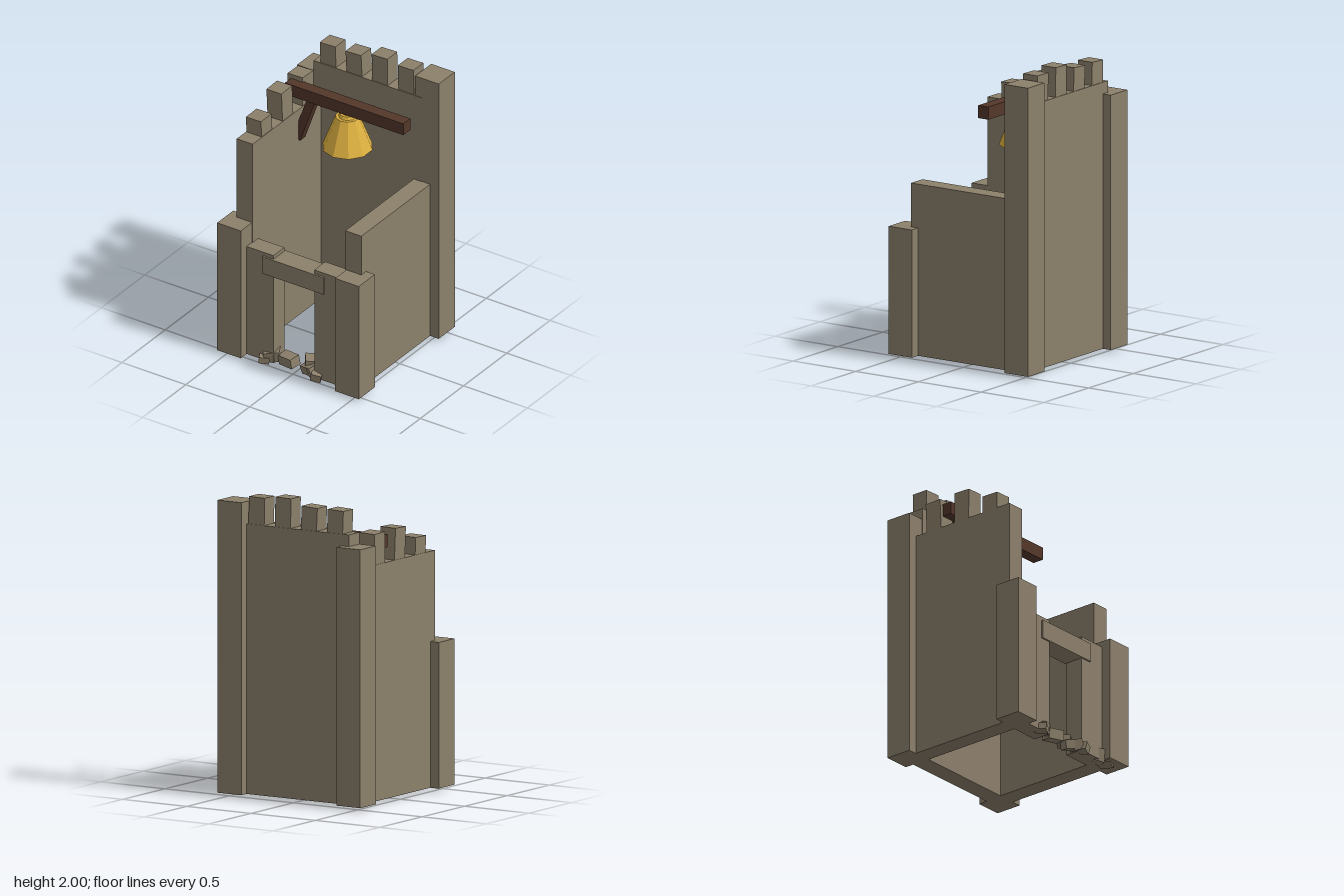
import * as THREE from 'three';

export function createModel() {
  const model = new THREE.Group();
  const make = (name, color) => {
    const m = new THREE.MeshStandardMaterial({ color, flatShading: true });
    m.name = name;
    return m;
  };
  const stone = make('stone', 0x8c806b);
  const wood = make('wood', 0x54372a);
  const brass = make('brass', 0xddb040);
  brass.side = THREE.DoubleSide;

  const add = (name, geometry, material, parent = model) => {
    const mesh = new THREE.Mesh(geometry, material);
    mesh.name = name;
    parent.add(mesh);
    return mesh;
  };
  // Box given by its limits on each axis
  const block = (name, x0, x1, y0, y1, z0, z1, material = stone) => {
    const mesh = add(name, new THREE.BoxGeometry(x1 - x0, y1 - y0, z1 - z0), material);
    mesh.position.set((x0 + x1) / 2, (y0 + y1) / 2, (z0 + z1) / 2);
    return mesh;
  };
  const base = 0.025;

  // Corner pillars, broken off at different heights
  for (const [name, sx, sz, top] of [
    ['backRightPillar', -1, -1, 1.725], ['backLeftPillar', 1, -1, 1.95],
    ['frontRightPillar', -1, 1, 0.987], ['frontLeftPillar', 1, 1, 0.877],
  ]) {
    const p = block(name, -0.0925, 0.0925, base, top, -0.0925, 0.0925);
    p.position.x = sx * 0.4625;
    p.position.z = sz * 0.4625;
  }

  // Walls
  block('backWall', -0.425, 0.425, base, 1.802, -0.492, -0.367);
  block('rightWall', -0.49, -0.365, base, 1.58, -0.425, 0.425);
  block('leftWall', 0.361, 0.487, base, 1.17, -0.425, 0.425);
  block('frontWallRight', -0.42, -0.16, base, 0.837, 0.361, 0.487);
  block('frontWallLeft', 0.16, 0.42, base, 0.837, 0.361, 0.487);
  block('lintel', -0.24, 0.24, 0.683, 0.81, 0.35, 0.5);

  // Leaning battlements on the back wall: x, top, lean
  for (const [x, top, lean] of [
    [-0.316, 1.956, 0.04], [-0.113, 1.958, 0.05], [0.09, 2.0, 0.02], [0.295, 1.985, 0.02],
  ]) {
    const m = block('backBattlement', x - 0.061, x + 0.061, 1.79, top - 0.002, -0.488, -0.373);
    m.rotation.z = lean;
  }
  // Battlements on the right wall: z, top, lean
  for (const [z, top, lean] of [[-0.222, 1.785, -0.03], [0.017, 1.788, 0.03], [0.257, 1.695, 0.02]]) {
    const m = block('sideBattlement', -0.488, -0.37, 1.57, top, z - 0.061, z + 0.061);
    m.rotation.x = lean;
    m.rotation.z = 0.02;
  }

  // Bell beam and its brace
  block('beam', -0.464, 0.464, 1.67, 1.755, -0.175, -0.094, wood);
  const brace = add('brace', new THREE.BoxGeometry(0.06, 0.37, 0.06), wood);
  brace.position.set(-0.318, 1.535, -0.133);
  brace.rotation.z = -0.34;

  // Ten-sided bell with crown and clapper
  const bell = new THREE.Group();
  bell.name = 'bell';
  bell.position.z = -0.133;
  model.add(bell);
  const v = (x, y) => new THREE.Vector2(x, y);
  add('bellBody', new THREE.LatheGeometry([v(0.168, 1.41), v(0.08, 1.64), v(0, 1.64)], 10), brass, bell);
  const tier = (name, rTop, rBottom, y0, y1) => {
    add(name, new THREE.CylinderGeometry(rTop, rBottom, y1 - y0, 10), brass, bell)
      .position.y = (y0 + y1) / 2;
  };
  tier('bellShoulder', 0.05, 0.062, 1.635, 1.66);
  tier('bellCrown', 0.03, 0.03, 1.65, 1.7);
  tier('clapperRod', 0.01, 0.01, 1.4, 1.64);
  tier('clapper', 0.01, 0.027, 1.355, 1.405);

  // Rubble in the doorway: centre, size, turn
  for (const [x, y, z, w, h, d, rx, ry, rz] of [
    [-0.19, 0.065, 0.45, 0.11, 0.075, 0.08, 0.15, 0.45, 0.12],
    [-0.235, 0.04, 0.48, 0.07, 0.045, 0.08, 0.1, 0.5, -0.15],
    [-0.07, 0.06, 0.44, 0.12, 0.07, 0.08, 0.12, -0.2, 0.12],
    [0.09, 0.085, 0.4, 0.1, 0.055, 0.09, 0.15, 0.6, -0.15],
    [0.08, 0.045, 0.44, 0.07, 0.06, 0.07, 0.2, -0.3, 0.3],
    [0.14, 0.06, 0.46, 0.07, 0.07, 0.08, 0.3, -0.5, 0.5],
    [0.18, 0.045, 0.49, 0.07, 0.055, 0.06, 0.2, 0.35, -0.25],
    [0.37, 0.06, 0.46, 0.07, 0.09, 0.08, 0.1, -0.6, -0.15],
    [0.42, 0.03, 0.47, 0.09, 0.035, 0.09, 0.05, 0.4, -0.1],
  ]) {
    const r = block('rubble', x - w / 2, x + w / 2, y - h / 2, y + h / 2, z - d / 2, z + d / 2);
    r.rotation.set(rx, ry, rz);
  }
  return model;
}
